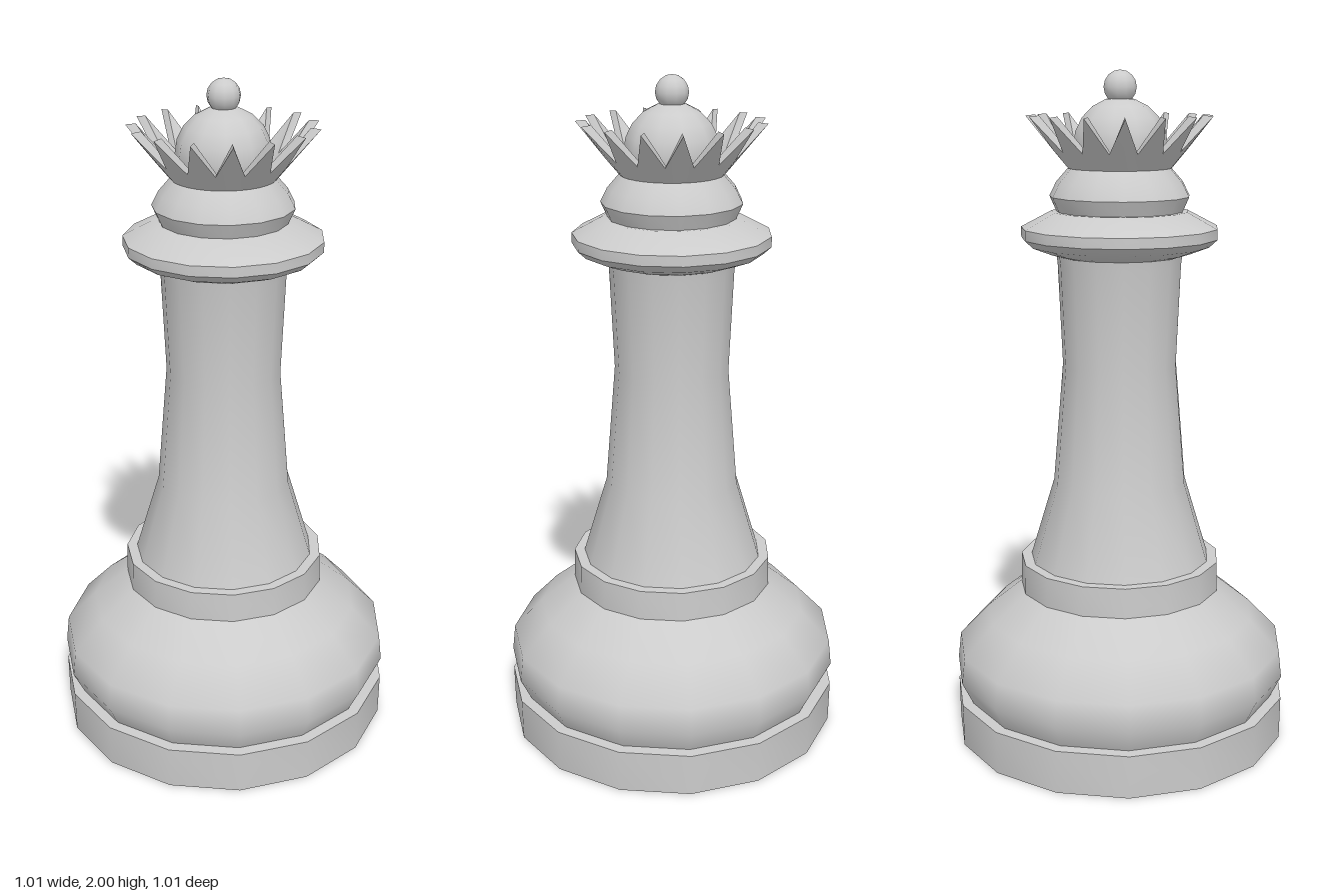
import * as THREE from 'three';
import { toCreasedNormals } from 'three/addons/utils/BufferGeometryUtils.js';

const SIDES = 15;
const material = new THREE.MeshStandardMaterial({ color: 0xcccccc });

// Turned part from [radius, height] pairs, with a corner pointing to +x
function turned(name, profile) {
  const points = profile.map(([r, y]) => new THREE.Vector2(r, y));
  const lathe = new THREE.LatheGeometry(points, SIDES, Math.PI / 2);
  const mesh = new THREE.Mesh(toCreasedNormals(lathe, 0.75), material);
  mesh.name = name;
  return mesh;
}

function ball(name, radius, y, rings) {
  const geometry = new THREE.SphereGeometry(radius, 11, rings);
  geometry.rotateY(Math.PI);
  const mesh = new THREE.Mesh(geometry, material);
  mesh.position.y = y;
  mesh.name = name;
  return mesh;
}

// Thick flared wall whose rim zigzags between tips and valleys
function crown() {
  const tip = [[0.132, 1.725], [0.15, 1.725], [0.272, 1.872], [0.243, 1.875]];
  const valley = [[0.132, 1.725], [0.15, 1.725], [0.19, 1.773], [0.168, 1.776]];
  const columns = SIDES * 2;
  const positions = [];
  const index = [];
  for (let i = 0; i < columns; i++) {
    const a = (i / columns) * Math.PI * 2;
    for (const [r, y] of i % 2 ? valley : tip) {
      positions.push(r * Math.cos(a), y, r * Math.sin(a));
    }
    const here = i * 4;
    const next = ((i + 1) % columns) * 4;
    for (let j = 0; j < 4; j++) {
      const k = (j + 1) % 4;
      index.push(here + j, here + k, next + k, here + j, next + k, next + j);
    }
  }
  const geometry = new THREE.BufferGeometry();
  geometry.setAttribute('position', new THREE.Float32BufferAttribute(positions, 3));
  geometry.setIndex(index);
  const mesh = new THREE.Mesh(toCreasedNormals(geometry, 0.6), material);
  mesh.name = 'crown';
  return mesh;
}

export function createModel() {
  const group = new THREE.Group();
  group.name = 'chessQueen';

  const parts = [
    turned('base', [[0, 0], [0.507, 0], [0.509, 0.13], [0.46, 0.132], [0, 0.132]]),
    turned('body', [
      [0, 0.13], [0.475, 0.13], [0.509, 0.2], [0.5, 0.28], [0.41, 0.375],
      [0.305, 0.46], [0.303, 0.55], [0, 0.55],
    ]),
    turned('stem', [
      [0.272, 0.55], [0.2, 0.79], [0.17, 1.15], [0.183, 1.45], [0.19, 1.5],
    ]),
    turned('collar', [
      [0.17, 1.47], [0.21, 1.482], [0.265, 1.503], [0.289, 1.525],
      [0.289, 1.555], [0.2, 1.602], [0, 1.602],
    ]),
    turned('neck', [
      [0.185, 1.6], [0.205, 1.645], [0.185, 1.685], [0.15, 1.725], [0, 1.725],
    ]),
    crown(),
    ball('dome', 0.138, 1.787, 10),
    ball('finial', 0.048, 1.952, 8),
  ];

  // Odd-sided rings are a little lopsided, so shift to centre the bounds
  for (const part of parts) {
    part.position.x = -0.0055;
    group.add(part);
  }
  return group;
}
